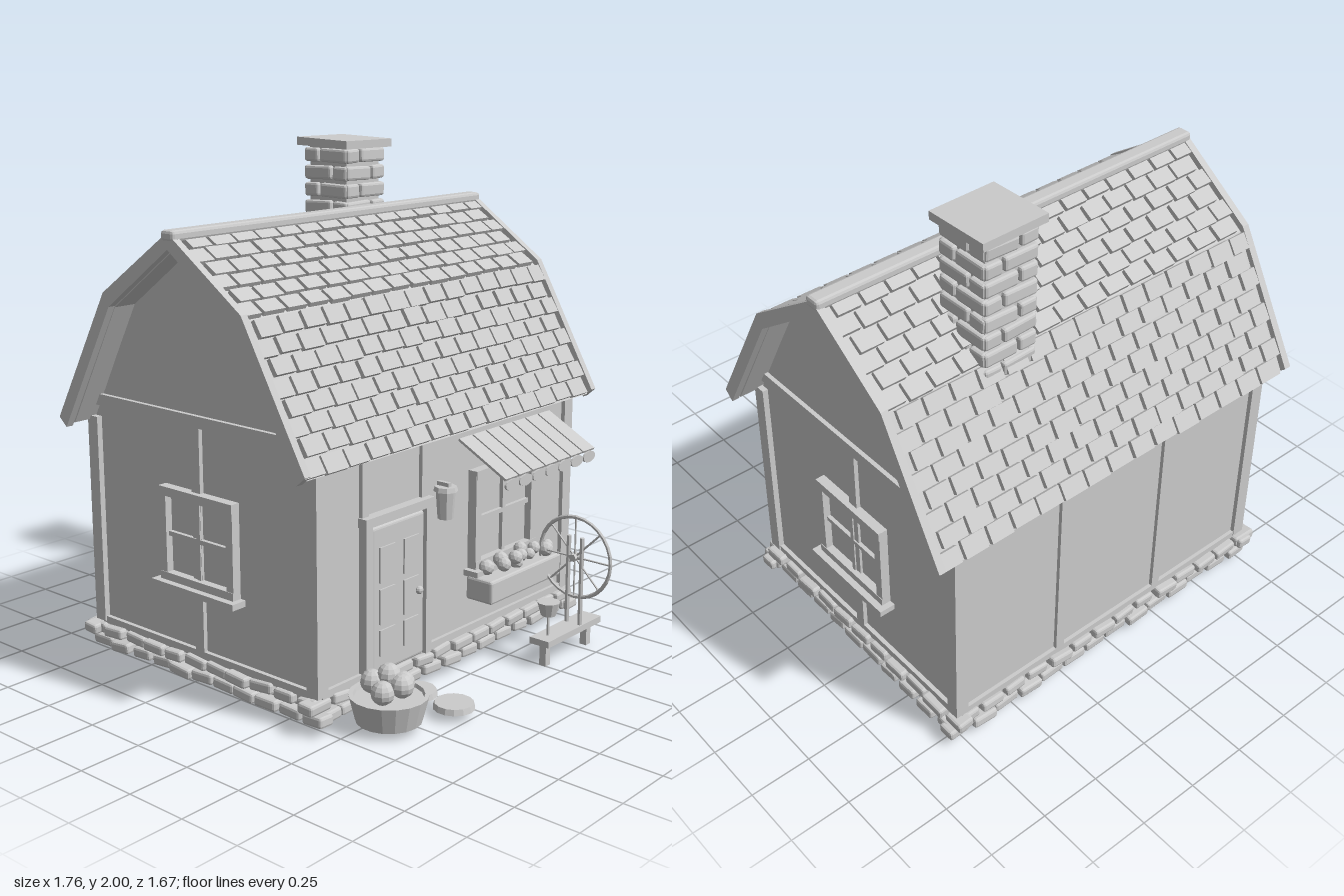
import * as THREE from 'three';
import { mergeGeometries } from 'three/addons/utils/BufferGeometryUtils.js';
import { RoundedBoxGeometry } from 'three/addons/geometries/RoundedBoxGeometry.js';

const grey = new THREE.MeshStandardMaterial({ color: 0xcccccc, flatShading: true });
const C = -0.187; // z of the ridge line, centre of the house

let seed = 7;
const rnd = () => (seed = (seed * 16807) % 2147483647) / 2147483647;
const jit = (a) => (rnd() - 0.5) * 2 * a;

function add(parent, name, geo, x = 0, y = 0, z = 0, rx = 0, ry = 0, rz = 0) {
  const m = new THREE.Mesh(geo, grey);
  m.name = name;
  m.position.set(x, y, z);
  m.rotation.set(rx, ry, rz);
  parent.add(m);
  return m;
}
const box = (p, name, w, h, d, x, y, z, rx, ry, rz) => add(p, name, new THREE.BoxGeometry(w, h, d), x, y, z, rx, ry, rz);

// worn stone or brick with softened edges, to be merged with its neighbours
function stone(w, h, d, x, y, z, tilt) {
  return new RoundedBoxGeometry(w, h, d, 1, 0.01).rotateX(jit(tilt)).rotateZ(jit(tilt)).translate(x, y, z);
}
// outline in (z, y), extruded along x and centred on x
function alongX(pts, width, x = 0) {
  const g = new THREE.ExtrudeGeometry(new THREE.Shape(pts.map((p) => new THREE.Vector2(...p))), { depth: width, bevelEnabled: false });
  return g.translate(0, 0, -width / 2).rotateY(-Math.PI / 2).translate(x, 0, C);
}
// straight round bar between two points
function bar(p, name, a, b, r) {
  const A = new THREE.Vector3(...a), B = new THREE.Vector3(...b);
  const m = add(p, name, new THREE.CylinderGeometry(r, r, A.distanceTo(B), 6));
  m.position.copy(A).lerp(B, 0.5);
  m.quaternion.setFromUnitVectors(new THREE.Vector3(0, 1, 0), B.sub(A).normalize());
}
function group(parent, name, x = 0, y = 0, z = 0, ry = 0) {
  const g = new THREE.Group();
  g.name = name;
  g.position.set(x, y, z);
  g.rotation.y = ry;
  parent.add(g);
  return g;
}

// four-pane window facing +z, origin at its centre
function makeWindow(parent, name, x, y, z, ry, w, h) {
  const g = group(parent, name, x, y, z, ry);
  box(g, 'pane', w, h, 0.01, 0, 0, 0.005);
  for (const s of [-1, 1]) {
    box(g, 'frameSide', 0.035, h, 0.04, s * (w / 2 - 0.017), 0, 0.02);
    box(g, 'frameRail', w, 0.035, 0.045, 0, s * (h / 2 - 0.017), 0.02);
  }
  box(g, 'mullion', 0.018, h, 0.028, 0, 0, 0.012);
  box(g, 'crossBar', w, 0.018, 0.028, 0, 0, 0.012);
  box(g, 'sill', w + 0.05, 0.024, 0.07, 0, -h / 2 - 0.008, 0.034);
}

function makeWalls(root) {
  const g = group(root, 'walls');
  add(g, 'wallBody', alongX([[-0.588, 0.1], [0.588, 0.1], [0.588, 0.96], [0.33, 1.44], [0, 1.68], [-0.33, 1.44], [-0.588, 0.96]], 1.51));
  for (const sx of [-1, 1]) {
    for (const sz of [-1, 1]) box(g, 'cornerPost', 0.055, 0.84, 0.055, sx * 0.751, 0.55, C + sz * 0.578);
    const X = sx * 0.755;
    box(g, 'gableBeam', 0.035, 0.045, 1.14, X, 1.04, C);
    box(g, 'sideSill', 0.035, 0.03, 1.14, X, 0.135, C);
    box(g, 'sidePost', 0.035, 0.9, 0.045, X, 0.57, C - 0.005);
    makeWindow(g, 'sideWindow', sx * 0.752, 0.585, C + 0.007, sx * Math.PI / 2, 0.39, 0.37);
  }
  for (const sz of [-1, 1]) box(g, 'longSill', 1.5, 0.03, 0.03, 0, 0.135, C + sz * 0.588);
  for (const x of [-0.26, 0.26]) box(g, 'backPost', 0.04, 0.84, 0.03, x, 0.55, C - 0.588);
  for (const x of [-0.52, -0.185]) box(g, 'frontPost', 0.035, 0.84, 0.03, x, 0.55, C + 0.588);
  makeWindow(g, 'frontWindow', 0.3, 0.58, 0.4, 0, 0.4, 0.4);
}

// two courses of rough stones around a solid base
function makeFoundation(root) {
  const g = group(root, 'foundation');
  box(g, 'base', 1.52, 0.09, 1.18, 0, 0.075, C);
  const stones = [];
  for (let row = 0; row < 2; row++) {
    const y = 0.055 + row * 0.047;
    for (let i = 0; i < 14; i++) for (const s of [-1, 1]) {
      const x = -0.745 + i * 0.115 + (row ? -0.025 : 0.02);
      stones.push(stone(0.1 + jit(0.012), 0.042, 0.07, x, y, C + s * (0.59 + jit(0.01)), 0.1));
    }
    for (let i = 0; i < 11; i++) for (const s of [-1, 1]) {
      const z = C - 0.575 + i * 0.115 + (row ? -0.02 : 0.02);
      stones.push(stone(0.07, 0.042, 0.1 + jit(0.012), s * (0.765 + jit(0.01)), y, z, 0.1));
    }
  }
  add(g, 'stones', mergeGeometries(stones));
}

// gambrel roof: deck, staggered shingles, edge boards and ridge cap
function makeRoof(root) {
  const g = group(root, 'roof');
  const outer = [[0.63, 0.955], [0.35, 1.465], [0, 1.71], [-0.35, 1.465], [-0.63, 0.955]];
  const inner = [[-0.595, 0.955], [-0.33, 1.435], [0, 1.675], [0.33, 1.435], [0.595, 0.955]];
  add(g, 'deck', alongX([...outer, ...inner], 1.7));
  const edgeOut = [[0.65, 0.975], [0.36, 1.49], [0, 1.74], [-0.36, 1.49], [-0.65, 0.975]];
  const edgeIn = [[-0.61, 0.94], [-0.33, 1.44], [0, 1.68], [0.33, 1.44], [0.61, 0.94]];
  for (const s of [-1, 1]) add(g, 'edgeBoard', alongX([...edgeOut, ...edgeIn], 0.03, s * 0.865));
  add(g, 'ridgeCap', new RoundedBoxGeometry(1.765, 0.042, 0.065, 1, 0.012), 0, 1.727, C);

  const slopes = [[outer[0], outer[1], 8], [outer[1], outer[2], 6]];
  for (const ry of [0, Math.PI]) {
    const half = group(g, 'roofHalf', 0, 0, C, ry);
    for (const [a, b, rows] of slopes) {
      const len = Math.hypot(a[0] - b[0], b[1] - a[1]), step = len / rows, parts = [];
      for (let r = 0; r < rows; r++) for (let i = 0; i < 15; i++) {
        const x = -0.798 + i * 0.114 + (r % 2 ? 0.025 : -0.025);
        const shingle = new THREE.BoxGeometry(0.1 + jit(0.007), 0.02, step * 0.9 + jit(0.005)).rotateX(-0.07);
        parts.push(shingle.translate(x, 0.01, len / 2 - (r + 0.5) * step + jit(0.003)));
      }
      const m = add(half, 'shingles', mergeGeometries(parts), 0, (a[1] + b[1]) / 2, (a[0] + b[0]) / 2);
      m.rotation.x = Math.atan2(b[1] - a[1], a[0] - b[0]);
    }
  }
}

function makeChimney(root) {
  const g = group(root, 'chimney', 0.345, 0, -0.455);
  box(g, 'core', 0.2, 0.58, 0.2, 0, 1.68, 0);
  const bricks = [];
  for (let r = 0; r < 8; r++) {
    const y = 1.43 + r * 0.071, o = r % 2 ? 0.035 : -0.035;
    for (const s of [-1, 1]) for (const h of [-1, 1]) {
      const w = 0.11 + h * o, p = h * 0.06 - o / 2;
      bricks.push(stone(w, 0.056, 0.036, p, y, s * 0.104, 0.05));
      bricks.push(stone(0.036, 0.056, w, s * 0.104, y, p, 0.05));
    }
  }
  add(g, 'bricks', mergeGeometries(bricks));
  box(g, 'cap', 0.28, 0.033, 0.275, 0, 1.977, 0, 0.025, 0, -0.01);
}

function makeDoor(root) {
  const g = group(root, 'door', -0.352, 0, 0.405);
  add(g, 'doorPanel', new RoundedBoxGeometry(0.3, 0.57, 0.03, 2, 0.014), 0, 0.415, 0.01);
  for (const s of [-1, 1]) {
    box(g, 'doorJamb', 0.035, 0.6, 0.045, s * 0.17, 0.43, 0.01);
    for (const y of [0.39, 0.55]) box(g, 'raisedPanel', 0.085, 0.135, 0.012, s * 0.068, y, 0.026);
    box(g, 'raisedPanel', 0.085, 0.1, 0.012, s * 0.068, 0.25, 0.026);
  }
  box(g, 'doorHead', 0.385, 0.035, 0.05, 0, 0.725, 0.012);
  add(g, 'knob', new THREE.SphereGeometry(0.016, 8, 6), 0.105, 0.4, 0.037);
}

function makeLantern(root) {
  const g = group(root, 'lantern', -0.088, 0, 0.437);
  add(g, 'lampBody', new THREE.CylinderGeometry(0.038, 0.03, 0.11, 8), 0, 0.695, 0);
  add(g, 'lampRoof', new THREE.CylinderGeometry(0.042, 0.047, 0.018, 8), 0, 0.757, 0);
  box(g, 'bracket', 0.018, 0.018, 0.06, 0, 0.772, -0.01);
}

// sloping slats ending in rounded flaps
function makeAwning(root) {
  const g = group(root, 'awning', 0.3, 0, 0);
  const flap = new THREE.CylinderGeometry(0.041, 0.041, 0.008, 14).rotateX(Math.PI / 2).scale(1, 0.55, 1);
  for (let i = 0; i < 7; i++) {
    const x = (i - 3) * 0.086;
    box(g, 'slat', 0.078, 0.01, 0.25, x, 0.866, 0.535, 0.49);
    add(g, 'flap', flap, x, 0.783, 0.647);
  }
}

function makeFlowerBox(root) {
  const g = group(root, 'flowerBox', 0.305, 0, 0.48);
  add(g, 'planter', new RoundedBoxGeometry(0.47, 0.095, 0.125, 1, 0.01), 0, 0.316, 0);
  for (let i = 0; i < 11; i++) {
    add(g, 'bloom', new THREE.IcosahedronGeometry(0.028 + jit(0.006), 1), -0.165 + i * 0.037, 0.4 + jit(0.02), 0.015 + jit(0.03));
  }
}

function makeSpinningWheel(root) {
  const g = group(root, 'spinningWheel');
  box(g, 'bench', 0.37, 0.026, 0.09, 0.405, 0.105, 0.665);
  for (const x of [0.262, 0.548]) box(g, 'benchLeg', 0.03, 0.11, 0.03, x, 0.055, 0.665);
  add(g, 'rim', new THREE.TorusGeometry(0.165, 0.008, 6, 28), 0.455, 0.395, 0.665, 0, Math.PI / 2);
  bar(g, 'hub', [0.435, 0.395, 0.665], [0.475, 0.395, 0.665], 0.016);
  for (let i = 0; i < 4; i++) {
    const a = i * Math.PI / 4, c = 0.16 * Math.cos(a), s = 0.16 * Math.sin(a);
    bar(g, 'spoke', [0.455, 0.395 - s, 0.665 - c], [0.455, 0.395 + s, 0.665 + c], 0.004);
  }
  for (const z of [0.635, 0.697]) bar(g, 'post', [0.455, 0.11, z], [0.455, 0.48, z], 0.01);
  bar(g, 'brace', [0.455, 0.395, 0.63], [0.455, 0.395, 0.7], 0.009);
  bar(g, 'spindleStand', [0.28, 0.11, 0.665], [0.28, 0.21, 0.665], 0.006);
  add(g, 'bobbin', new THREE.CylinderGeometry(0.045, 0.03, 0.055, 10), 0.28, 0.23, 0.665);
}

function makeBasket(root) {
  const g = group(root, 'fruitBasket', -0.565, 0, 0.565);
  const profile = [[0, 0.03], [0.122, 0.03], [0.147, 0.13], [0.13, 0.13], [0.126, 0.115], [0, 0.115]];
  add(g, 'basket', new THREE.LatheGeometry(profile.map((p) => new THREE.Vector2(...p)), 18));
  const fruit = new THREE.SphereGeometry(0.044, 10, 8);
  for (let i = 0; i < 5; i++) {
    const a = i * Math.PI * 0.4 + 0.3;
    add(g, 'fruit', fruit, 0.06 * Math.cos(a), 0.155 + (i % 2) * 0.02, 0.06 * Math.sin(a));
  }
  add(g, 'fruit', fruit, 0, 0.2, 0);
}

export function createModel() {
  const root = new THREE.Group();
  root.name = 'cottage';
  for (const make of [makeWalls, makeFoundation, makeRoof, makeChimney, makeDoor, makeLantern,
    makeAwning, makeFlowerBox, makeSpinningWheel, makeBasket]) make(root);
  for (const z of [0.505, 0.68]) add(root, 'steppingStone', new THREE.CylinderGeometry(0.073, 0.079, 0.022, 14), -0.335, 0.042, z);
  return root;
}
